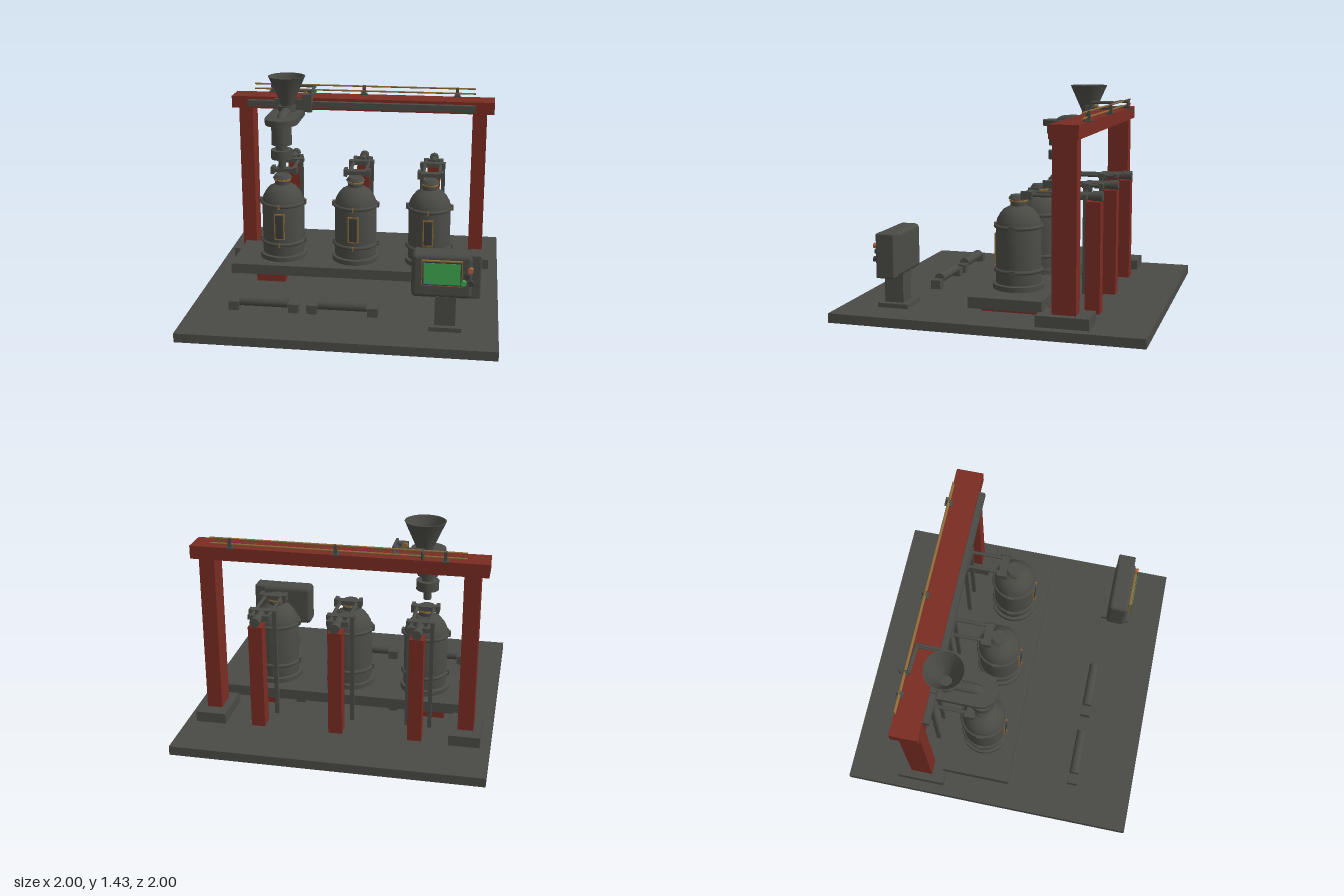
import * as THREE from 'three';
import { RoundedBoxGeometry } from 'three/addons/geometries/RoundedBoxGeometry.js';
import { toCreasedNormals } from 'three/addons/utils/BufferGeometryUtils.js';

const mat = (name, color, side = THREE.FrontSide) => {
  const m = new THREE.MeshStandardMaterial({ color, side });
  m.name = name;
  return m;
};

export function createModel() {
  const model = new THREE.Group();
  const steel = mat('dark steel', 0x4a4a45, THREE.DoubleSide);
  const shade = mat('charcoal', 0x3b3c3a);
  const red = mat('oxide red', 0x792c22);
  const brass = mat('brass', 0x8c6b38);
  const green = mat('screen green', 0x3fa650);
  const orange = mat('button orange', 0xb0623c);

  const put = (parent, name, geo, m, x = 0, y = 0, z = 0) => {
    const mesh = new THREE.Mesh(geo, m);
    mesh.name = name;
    mesh.position.set(x, y, z);
    parent.add(mesh);
    return mesh;
  };
  // Box given by its limits on each axis
  const box = (parent, name, m, [x0, x1], [y0, y1], [z0, z1], round = 0) => {
    const s = [x1 - x0, y1 - y0, z1 - z0];
    const g = round ? new RoundedBoxGeometry(...s, 3, round) : new THREE.BoxGeometry(...s);
    return put(parent, name, g, m, (x0 + x1) / 2, (y0 + y1) / 2, (z0 + z1) / 2);
  };
  // Cylinder between two points
  const rod = (parent, name, m, a, b, r, r2 = r, sides = 20) => {
    const p = new THREE.Vector3(...a), q = new THREE.Vector3(...b), d = q.clone().sub(p);
    const mesh = put(parent, name, new THREE.CylinderGeometry(r2, r, d.length(), sides), m);
    mesh.position.copy(p).add(q).multiplyScalar(0.5);
    mesh.quaternion.setFromUnitVectors(new THREE.Vector3(0, 1, 0), d.normalize());
    return mesh;
  };
  const lathe = (parent, name, m, pts, x, y, z) => put(parent, name, toCreasedNormals(
    new THREE.LatheGeometry(pts.map(p => new THREE.Vector2(...p)), 36), 0.5), m, x, y, z);
  const pipe = (parent, name, m, pts, r) => {
    const path = new THREE.CurvePath(), v = pts.map(p => new THREE.Vector3(...p));
    for (let i = 1; i < v.length; i++) path.add(new THREE.LineCurve3(v[i - 1], v[i]));
    v.slice(1, -1).forEach(p => put(parent, name + 'Elbow', new THREE.SphereGeometry(r, 12, 8), m, p.x, p.y, p.z));
    path.curves.forEach(c => rod(parent, name, m, c.v1.toArray(), c.v2.toArray(), r, r, 12));
  };
  const group = name => {
    const g = new THREE.Group();
    g.name = name;
    model.add(g);
    return g;
  };

  box(model, 'floorPlate', steel, [-1, 1], [0, 0.06], [-1, 1]);

  // Gantry frame
  const gantry = group('gantry');
  for (const s of [-1, 1]) {
    const c = s * 0.835;
    box(gantry, 'columnFoot', steel, [c - 0.1, c + 0.1], [0.06, 0.13], [-0.65, -0.32]);
    box(gantry, 'column', red, [c - 0.05, c + 0.05], [0.13, 1.18], [-0.56, -0.41]);
  }
  box(gantry, 'beam', red, [-0.935, 0.935], [1.18, 1.265], [-0.58, -0.4]);
  box(gantry, 'slideRail', steel, [-0.81, 0.805], [1.2, 1.245], [-0.4, -0.36]);
  for (const y of [1.29, 1.325])
    rod(gantry, 'topRail', brass, [-0.8, y, -0.57], [0.8, y, -0.57], 0.006, 0.006, 10);
  for (const x of [-0.67, 0, 0.67]) {
    box(gantry, 'railPost', steel, [x - 0.01, x + 0.01], [1.265, 1.33], [-0.59, -0.565]);
    box(gantry, 'railPostFoot', steel, [x - 0.022, x + 0.022], [1.265, 1.275], [-0.6, -0.55]);
  }

  // Platform on skids
  const platform = group('platform');
  box(platform, 'deck', steel, [-0.845, 0.845], [0.12, 0.19], [-0.34, 0.13]);
  for (const s of [-1, 1]) {
    box(platform, 'skid', red, [s * 0.57 - 0.1, s * 0.57 + 0.1], [0.06, 0.12], [-0.3, 0.1]);
    box(platform, 'deckLeg', steel, [s * 0.32 - 0.03, s * 0.32 + 0.03], [0.06, 0.12], [-0.26, -0.2]);
  }

  // Three vessels, each with a lid arm and a rear post
  for (const x of [-0.515, 0, 0.515]) {
    const v = group('vessel');
    v.position.set(x, 0, -0.1);
    lathe(v, 'vesselBody', steel, [[0, 0.19], [0.165, 0.19], [0.165, 0.222], [0.145, 0.226], [0.145, 0.6],
      [0.138, 0.63], [0.12, 0.665], [0.095, 0.695], [0.052, 0.718], [0.052, 0.765], [0, 0.765]], 0, 0, 0);
    for (const y of [0.31, 0.59]) {
      const ring = put(v, 'flange', new THREE.TorusGeometry(0.146, 0.013, 10, 40), steel, 0, y, 0);
      ring.rotation.x = Math.PI / 2;
      box(v, 'flangeClip', brass, [-0.005, 0.005], [y - 0.014, y + 0.014], [0.152, 0.162]);
      for (const s of [-1, 1])
        box(v, 'flangeLug', steel, [s * 0.152 - 0.012, s * 0.152 + 0.012], [y - 0.016, y + 0.016], [-0.02, 0.02]);
    }
    rod(v, 'neckRing', brass, [0, 0.745, 0], [0, 0.755, 0], 0.059);
    rod(v, 'lid', steel, [0, 0.762, 0], [0, 0.785, 0], 0.066, 0.05, 28);
    box(v, 'windowFrame', brass, [-0.036, 0.036], [0.35, 0.538], [0.13, 0.15]);
    box(v, 'windowPane', shade, [-0.028, 0.028], [0.358, 0.53], [0.13, 0.154], 0.006);

    // Lid arm
    box(v, 'armYoke', steel, [-0.075, 0.075], [0.782, 0.81], [-0.1, -0.045]);
    for (const s of [-1, 1]) {
      box(v, 'armClamp', steel, [s * 0.08 - 0.012, s * 0.08 + 0.012], [0.77, 0.82], [-0.11, -0.04]);
      rod(v, 'armRod', steel, [s * 0.055, 0.795, -0.08], [s * 0.055, 0.795, -0.44], 0.012, 0.012, 12);
      box(v, 'armSupport', steel, [s * 0.075 - 0.013, s * 0.075 + 0.013], [0.06, 0.79], [-0.345, -0.318]);
    }
    box(v, 'armBridge', steel, [-0.09, 0.09], [0.78, 0.81], [-0.36, -0.31]);
    box(v, 'armTail', steel, [-0.07, 0.07], [0.78, 0.81], [-0.45, -0.42]);
    rod(v, 'armDrive', steel, [0, 0.795, -0.38], [0, 0.795, -0.5], 0.026);
    rod(v, 'armMotor', steel, [0, 0.797, -0.48], [0, 0.797, -0.54], 0.032);
    box(v, 'rearPost', red, [-0.045, 0.045], [0.06, 0.765], [-0.535, -0.44]);
  }

  // Travelling feeder with hopper and nozzle
  const feeder = group('feeder');
  feeder.position.set(-0.515, 0, -0.1);
  lathe(feeder, 'nozzle', steel, [[0, 0.83], [0.026, 0.83], [0.026, 0.9], [0.075, 0.9], [0.075, 0.963],
    [0.04, 0.963], [0.04, 1.0], [0.07, 1.0], [0.07, 1.145], [0, 1.145]], 0, 0, 0);
  const slab = new THREE.Shape();
  slab.absarc(0, 0, 0.113, Math.PI, Math.PI * 2, false);
  slab.lineTo(0.113, 0.3);
  slab.lineTo(-0.113, 0.3);
  const plate = put(feeder, 'feederPlate', new THREE.ExtrudeGeometry(slab,
    { depth: 0.042, bevelEnabled: false, curveSegments: 20 }), steel, 0, 1.143, 0);
  plate.rotation.x = -Math.PI / 2;
  const duct = new THREE.CatmullRomCurve3([[0, 1.16, 0], [0, 1.178, -0.03], [0, 1.185, -0.08], [0, 1.185, -0.22]]
    .map(p => new THREE.Vector3(...p)));
  put(feeder, 'feedDuct', new THREE.TubeGeometry(duct, 20, 0.036, 16), steel);
  rod(feeder, 'hopperThroat', steel, [0, 1.18, -0.22], [0, 1.225, -0.22], 0.062);
  lathe(feeder, 'hopper', steel, [[0.04, 1.2], [0.05, 1.255], [0.13, 1.435], [0.122, 1.435],
    [0.042, 1.26], [0.034, 1.215], [0, 1.215]], 0, 0, -0.22);
  box(feeder, 'carriage', steel, [-0.1, 0.165], [1.17, 1.26], [-0.3, -0.26]);
  box(feeder, 'carriageSide', steel, [0.1, 0.17], [1.19, 1.3], [-0.29, -0.23]);
  rod(feeder, 'valve', brass, [0.115, 1.29, -0.29], [0.115, 1.29, -0.31], 0.02);
  for (const y of [1.285, 1.322])
    pipe(feeder, 'airPipe', steel, [[0.165, y - 0.06, -0.26], [0.165, y, -0.28], [0.165, y, -0.44],
      [-0.02, y, -0.45]], 0.01);
  pipe(feeder, 'airLoop', steel, [[-0.02, 1.285, -0.45], [-0.02, 1.285, -0.5], [-0.02, 1.322, -0.5], [-0.02, 1.322, -0.45]], 0.01);

  // Floor rollers
  for (const x of [-0.515, 0]) {
    const r = group('floorRoller');
    r.position.x = x;
    rod(r, 'rollerBody', steel, [-0.158, 0.12, 0.578], [0.158, 0.12, 0.578], 0.034);
    rod(r, 'rollerShaft', steel, [-0.19, 0.1, 0.578], [0.19, 0.1, 0.578], 0.015);
    for (const s of [-1, 1])
      box(r, 'rollerBlock', steel, [s * 0.197 - 0.034, s * 0.197 + 0.034], [0.06, 0.12], [0.545, 0.612]);
  }

  // Control console
  const desk = group('console');
  box(desk, 'consoleFoot', steel, [0.565, 0.77], [0.06, 0.088], [0.56, 0.765]);
  box(desk, 'pedestal', steel, [0.6, 0.73], [0.088, 0.28], [0.605, 0.73]);
  box(desk, 'housing', steel, [0.45, 0.83], [0.27, 0.56], [0.595, 0.735], 0.03);
  box(desk, 'sidePanel', steel, [0.8, 0.88], [0.275, 0.56], [0.6, 0.722], 0.01);
  box(desk, 'screenFrame', brass, [0.515, 0.767], [0.36, 0.525], [0.73, 0.752]);
  box(desk, 'screenBezel', shade, [0.521, 0.761], [0.366, 0.519], [0.73, 0.755]);
  box(desk, 'screen', green, [0.528, 0.754], [0.373, 0.512], [0.752, 0.758]);
  [[0.815, 0.47, orange], [0.795, 0.43, shade], [0.775, 0.385, green], [0.82, 0.385, shade]].forEach(([x, y, m]) =>
    rod(desk, 'button', m, [x, y, 0.72], [x, y, 0.76], 0.017));

  return model;
}
